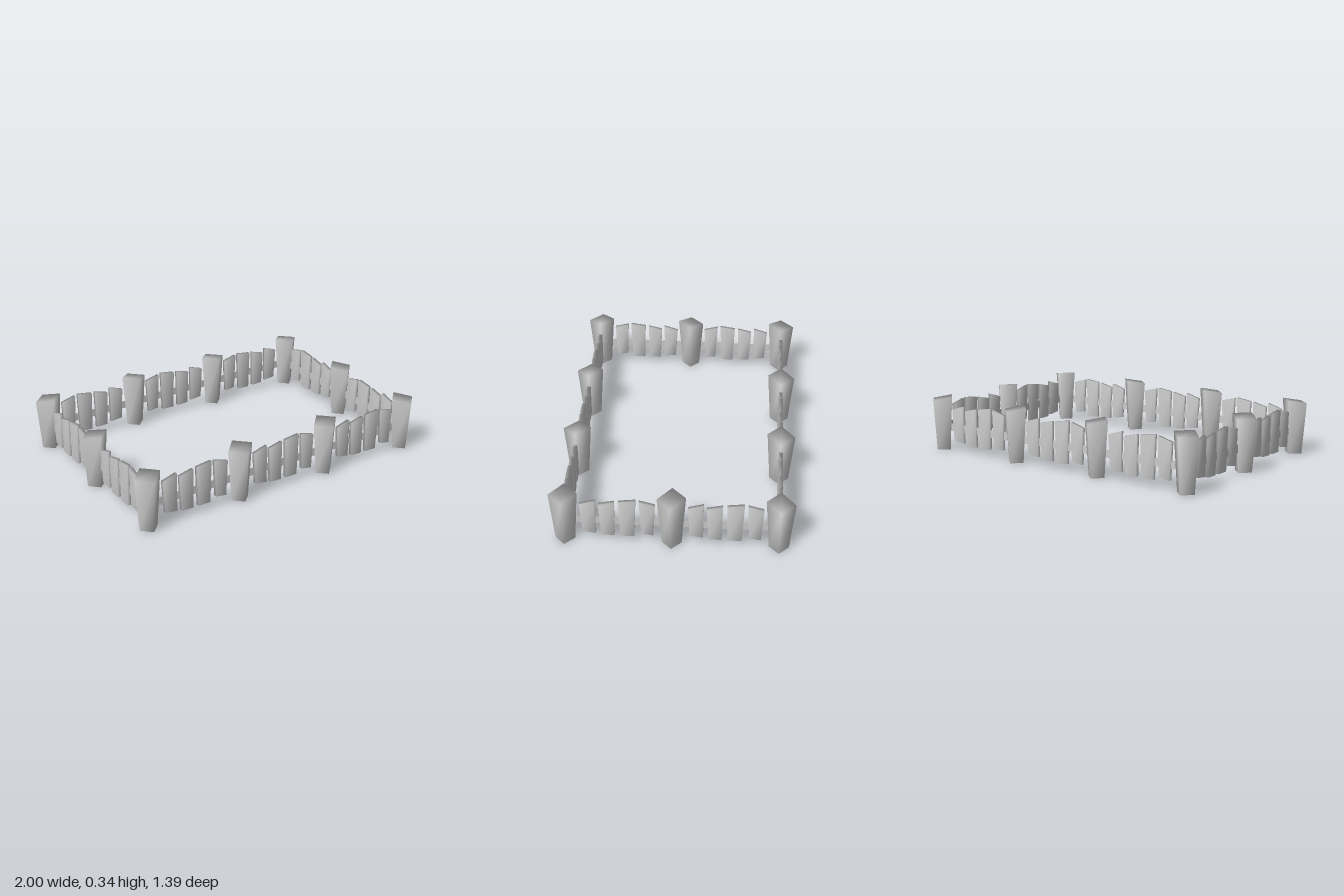
import * as THREE from 'three';
import { mergeVertices } from 'three/addons/utils/BufferGeometryUtils.js';

const HALF_X = 0.917, HALF_Z = 0.613;

// Box whose corners are moved by a rule, with normals shared at the corners
function softBlock(rule) {
  const box = new THREE.BoxGeometry(2, 2, 2);
  box.deleteAttribute('normal');
  box.deleteAttribute('uv');
  const geo = mergeVertices(box);
  const p = geo.attributes.position;
  for (let i = 0; i < p.count; i++) p.setXYZ(i, ...rule(p.getX(i), p.getY(i), p.getZ(i)));
  geo.computeVertexNormals();
  return geo;
}

// Square post, wider at the top, with a sloping top
const postGeometry = softBlock((x, y, z) => {
  const half = y > 0 ? 0.0587 : 0.0405;
  return [x * half, y < 0 ? 0 : z < 0 ? 0.337 : 0.318, z * half];
});

// Pickets of one span: distance from post, top left/right x and y, bottom left/right x and y
const PICKETS = [
  { at: 0.137, top: [-0.045, 0.262, 0.045, 0.29], bottom: [-0.032, 0.065, 0.043, 0.055] },
  { at: 0.245, top: [-0.045, 0.264, 0.045, 0.286], bottom: [-0.034, 0.046, 0.041, 0.043] },
  { at: 0.362, top: [-0.049, 0.288, 0.049, 0.301], bottom: [-0.041, 0.042, 0.038, 0.043] },
  { at: 0.475, top: [-0.045, 0.296, 0.045, 0.272], bottom: [-0.034, 0.065, 0.034, 0.055] },
];
const picketGeometries = PICKETS.map(({ top, bottom }) => softBlock((x, y, z) => {
  const edge = y > 0 ? top : bottom;
  const k = x < 0 ? 0 : 2;
  return [edge[k], edge[k + 1], z * 0.011];
}));

export function createModel() {
  const grey = new THREE.MeshStandardMaterial({ color: 0xcccccc, side: THREE.DoubleSide });
  grey.name = 'paleGrey';
  const fence = new THREE.Group();
  fence.name = 'fence';

  const add = (parent, geometry, name, x, y, z) => {
    const mesh = new THREE.Mesh(geometry, grey);
    mesh.name = name;
    mesh.position.set(x, y, z);
    parent.add(mesh);
    return mesh;
  };

  // One straight side: each span starts with a post and carries four pickets
  function buildSide(name, halfLength, distance, spans, angle) {
    const side = new THREE.Group();
    side.name = name;
    const step = 2 * halfLength / spans;
    for (let s = 0; s < spans; s++) {
      const start = -halfLength + s * step;
      add(side, postGeometry, 'post', start, 0, distance).rotation.y = -Math.PI / 4;
      PICKETS.forEach((picket, i) =>
        add(side, picketGeometries[i], 'picket', start + picket.at, 0, distance));
    }
    // Flat rail behind the pickets
    add(side, new THREE.PlaneGeometry(2 * halfLength, 0.05), 'rail', 0, 0.146, distance);
    side.rotation.y = angle;
    fence.add(side);
  }

  buildSide('frontSide', HALF_X, HALF_Z, 3, 0);
  buildSide('leftSide', HALF_Z, HALF_X, 2, Math.PI / 2);
  buildSide('backSide', HALF_X, HALF_Z, 3, Math.PI);
  buildSide('rightSide', HALF_Z, HALF_X, 2, -Math.PI / 2);
  return fence;
}
